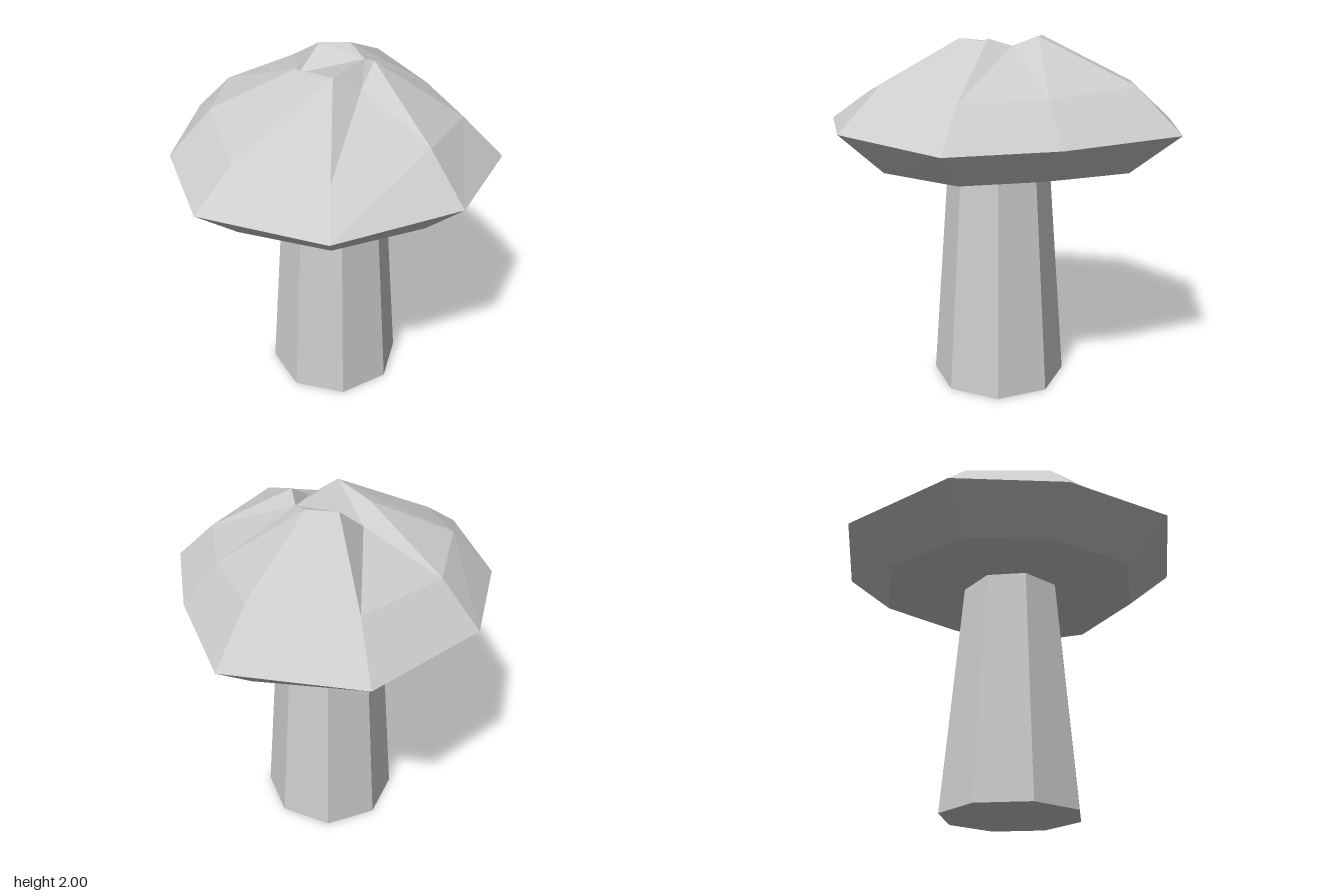
import * as THREE from 'three';

// Nine-sided rings of the cap, each point [x, y, z], going round from the back
const rim = [
  [-0.13, 1.535, -0.91], [0.56, 1.515, -0.86], [0.99, 1.54, -0.32],
  [0.74, 1.515, 0.29], [0.43, 1.51, 0.78], [-0.21, 1.545, 0.91],
  [-0.79, 1.525, 0.57], [-1.0, 1.54, -0.05], [-0.66, 1.53, -0.59],
];
const shoulder = [
  [-0.09, 1.75, -0.69], [0.42, 1.74, -0.65], [0.75, 1.77, -0.25],
  [0.57, 1.73, 0.21], [0.325, 1.72, 0.585], [-0.16, 1.77, 0.68],
  [-0.6, 1.69, 0.43], [-0.75, 1.7, -0.04], [-0.48, 1.775, -0.44],
];
const crown = [
  [-0.03, 1.876, -0.22], [0.13, 2.0, -0.21], [0.23, 2.0, -0.08],
  [0.17, 1.957, 0.06], [0.1, 1.995, 0.17], [-0.05, 1.905, 0.2],
  [-0.18, 1.983, 0.12], [-0.23, 1.94, -0.03], [-0.15, 1.952, -0.15],
];
// Crumpled top, as triangles between crown points
const crownFaces = [[8, 7, 6], [8, 6, 0], [6, 3, 0], [3, 1, 0], [3, 2, 1], [5, 4, 3], [6, 5, 3]];

function capGeometry() {
  const base = rim.map(([x, , z]) => [x * 0.745, 1.32, z * 0.745]);
  const rings = [base, rim, shoulder, crown];
  const n = rim.length;
  const positions = [];
  const tri = (...corners) => corners.forEach((c) => positions.push(...c));

  // Bands between neighbouring rings
  for (let r = 0; r < rings.length - 1; r++) {
    const low = rings[r];
    const up = rings[r + 1];
    for (let i = 0; i < n; i++) {
      const j = (i + 1) % n;
      tri(low[i], up[i], low[j]);
      tri(up[i], up[j], low[j]);
    }
  }
  // Flat underside and crumpled top
  for (let i = 1; i < n - 1; i++) tri(base[0], base[i], base[i + 1]);
  crownFaces.forEach((f) => tri(...f.map((i) => crown[i])));

  const geometry = new THREE.BufferGeometry();
  geometry.setAttribute('position', new THREE.Float32BufferAttribute(positions, 3));
  geometry.computeVertexNormals();
  return geometry;
}

export function createModel() {
  const model = new THREE.Group();
  model.name = 'mushroom';
  const grey = new THREE.MeshStandardMaterial({ color: 0xcccccc, flatShading: true });
  grey.name = 'light grey';

  // Tapered eight-sided stem
  const stem = new THREE.Mesh(new THREE.CylinderGeometry(0.287, 0.39, 1.32, 8), grey);
  stem.name = 'stem';
  stem.position.set(0, 0.66, -0.008);

  const cap = new THREE.Mesh(capGeometry(), grey);
  cap.name = 'cap';

  model.add(stem, cap);
  return model;
}
